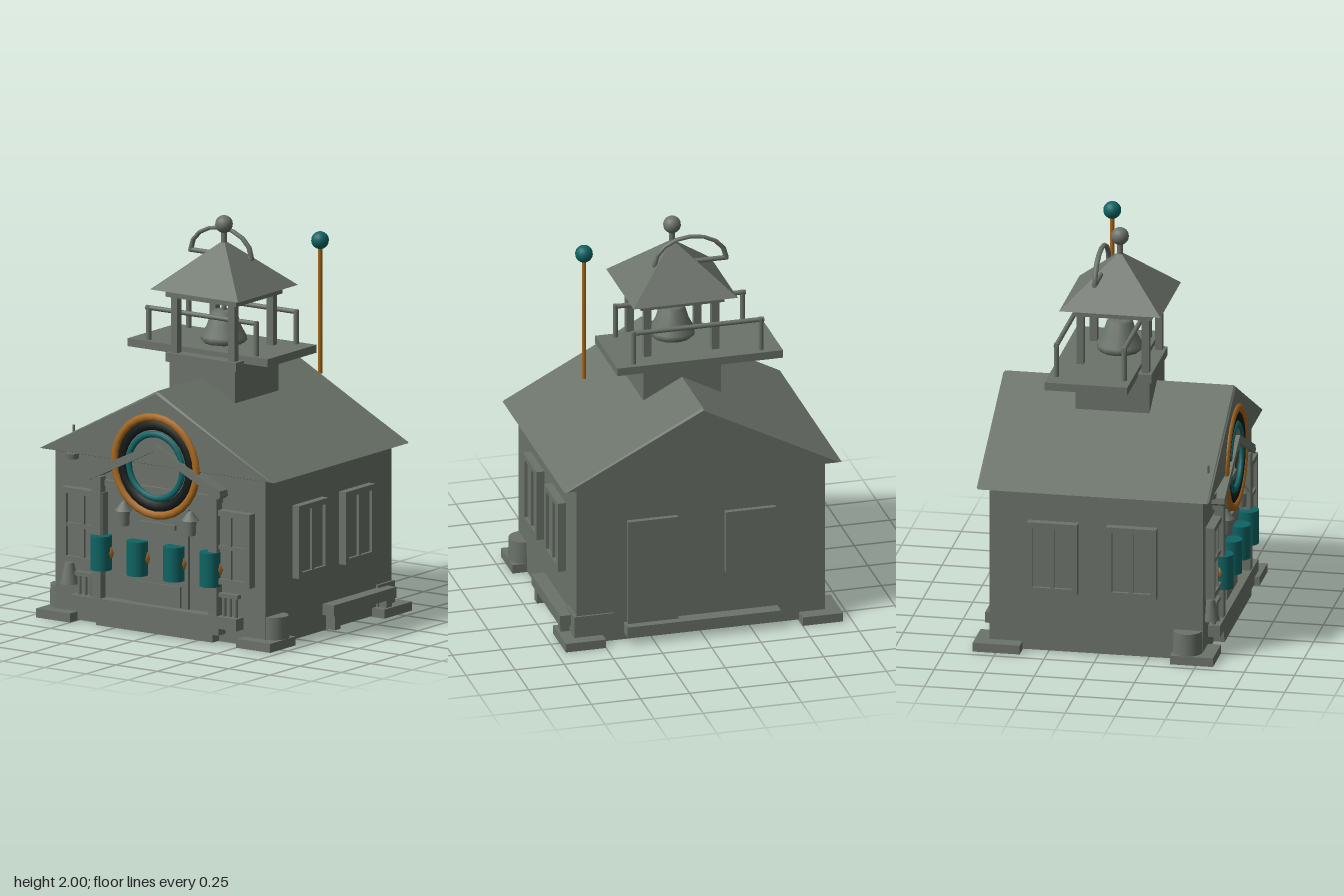
import * as THREE from 'three';

export function createModel() {
  const model = new THREE.Group();
  const mat = (name, color) => {
    const m = new THREE.MeshStandardMaterial({ color });
    m.name = name;
    return m;
  };
  const stone = mat('greyGreen', 0x6b736a);
  const teal = mat('teal', 0x0d6464);
  const amber = mat('amber', 0xa5671e);
  const black = mat('black', 0x141918);

  const add = (name, geo, m = stone, x = 0, y = 0, z = 0) => {
    const mesh = new THREE.Mesh(geo, m);
    mesh.name = name;
    mesh.position.set(x, y, z);
    model.add(mesh);
    return mesh;
  };
  // box given by its limits on each axis
  const box = (name, x0, x1, y0, y1, z0, z1, m = stone) =>
    add(name, new THREE.BoxGeometry(x1 - x0, y1 - y0, z1 - z0), m,
      (x0 + x1) / 2, (y0 + y1) / 2, (z0 + z1) / 2);
  // upright cylinder or cone between two heights
  const rod = (name, x, z, y0, y1, rBottom, rTop = rBottom, m = stone, sides = 12) =>
    add(name, new THREE.CylinderGeometry(rTop, rBottom, y1 - y0, sides), m, x, (y0 + y1) / 2, z);
  const polygon = (pts) => new THREE.Shape(pts.map(([x, y]) => new THREE.Vector2(x, y)));
  const flat = (geo) => {
    const g = geo.toNonIndexed();
    g.computeVertexNormals();
    return g;
  };
  const C = -0.015; // z of the tower axis

  // House body and gabled roof
  box('houseBody', -0.632, 0.632, 0.005, 0.85, -0.545, 0.52);
  const roof = new THREE.ExtrudeGeometry(polygon([[-0.705, 0.845], [0.705, 0.845], [0, 1.218]]), {
    depth: 1.14, bevelEnabled: true, bevelSize: 0.01, bevelThickness: 0.01, bevelOffset: -0.01, bevelSegments: 1,
  });
  add('mainRoof', roof, stone, 0, 0, -0.587);

  // Corner footings, corner drums and side furniture
  for (const s of [-1, 1]) {
    const x0 = Math.min(s * 0.5, s * 0.705), x1 = Math.max(s * 0.5, s * 0.705);
    box('frontFooting', x0, x1, 0, 0.045, 0.37, 0.585);
    box('backFooting', x0, x1, 0, 0.045, -0.615, -0.38);
    rod('cornerDrum', s * 0.63, 0.445, 0.04, 0.157, 0.075, 0.072, stone, 16);
  }
  box('cornerBlock', 0.44, 0.645, 0.045, 0.155, -0.555, -0.41);
  box('sideBenchSeat', 0.63, 0.7, 0.085, 0.14, -0.49, 0.04);
  box('sideBenchLeg', 0.635, 0.69, 0.01, 0.085, -0.03, 0.015);
  box('sideBenchLeg', 0.635, 0.69, 0.01, 0.085, -0.465, -0.42);

  // Framed window facing +z, built as a group and turned to its wall
  const windowUnit = (name, w, h, depth, crossbar) => {
    const g = new THREE.Group();
    g.name = name;
    const f = 0.028;
    const rect = (a, b) => [[-a, -b], [a, -b], [a, b], [-a, b]];
    const shape = polygon(rect(w / 2, h / 2));
    shape.holes.push(polygon(rect(w / 2 - f, h / 2 - f)));
    const part = (n, geo, x, y, z) => {
      const m = new THREE.Mesh(geo, stone);
      m.name = n;
      m.position.set(x, y, z);
      g.add(m);
    };
    part('frame', new THREE.ExtrudeGeometry(shape, { depth, bevelEnabled: false }), 0, 0, 0);
    part('pane', new THREE.BoxGeometry(w - f, h - f, depth * 0.6), 0, 0, depth * 0.3);
    part('mullion', new THREE.BoxGeometry(0.02, h - f, depth * 0.9), 0, 0, depth * 0.45);
    if (crossbar) part('crossbar', new THREE.BoxGeometry(w - f, 0.02, depth * 0.9), 0, 0, depth * 0.45);
    model.add(g);
    return g;
  };
  for (const s of [-1, 1]) {
    for (const z of [0.17, -0.225]) {
      const g = windowUnit('sideWindow', 0.25, 0.365, 0.043, false);
      g.position.set(s * 0.63, 0.497, z);
      g.rotation.y = s * Math.PI / 2;
    }
    windowUnit('frontWindow', 0.25, 0.37, 0.045, true).position.set(s * 0.442, 0.485, 0.52);
  }

  // Back door, back window and step
  box('backDoor', 0.12, 0.376, 0.09, 0.64, -0.572, -0.54);
  box('backWindow', -0.376, -0.12, 0.315, 0.635, -0.572, -0.54);
  box('backStep', -0.39, 0.39, 0.04, 0.095, -0.613, -0.54);

  // Front porch: steps, posts, beam, gable and railings
  box('lowerStep', -0.35, 0.35, 0.005, 0.045, 0.5, 0.575);
  box('middleStep', -0.39, 0.39, 0.045, 0.08, 0.5, 0.58);
  box('porchFloor', -0.497, 0.497, 0.08, 0.14, 0.5, 0.58);
  for (const s of [-1, 1]) {
    box('porchPost', s * 0.35 - 0.026, s * 0.35 + 0.026, 0.12, 0.75, 0.53, 0.575);
    box('porchRail', s * 0.43 - 0.06, s * 0.43 + 0.06, 0.235, 0.255, 0.53, 0.56);
    for (const x of [0.4, 0.435, 0.47]) rod('baluster', s * x, 0.545, 0.14, 0.24, 0.01);
    // wall lanterns beside the door
    rod('lantern', s * 0.2, 0.55, 0.52, 0.595, 0.026, 0.03);
    rod('lanternCap', s * 0.2, 0.55, 0.595, 0.64, 0.045, 0.01);
  }
  box('porchBeam', -0.375, 0.375, 0.7, 0.73, 0.515, 0.54);
  add('porchGable', new THREE.ExtrudeGeometry(
    polygon([[-0.405, 0.74], [-0.39, 0.728], [0, 0.92], [0.39, 0.728], [0.405, 0.74], [0.4, 0.77], [0, 0.96], [-0.4, 0.77]]),
    { depth: 0.065, bevelEnabled: false }), stone, 0, 0, 0.52);

  // Front door
  box('frontDoor', -0.175, 0.175, 0.14, 0.64, 0.515, 0.535);
  box('doorPlate', -0.105, 0.105, 0.53, 0.555, 0.53, 0.55);
  box('doorPanel', -0.135, 0.135, 0.145, 0.25, 0.53, 0.545);

  // Round emblem rings over the porch
  const ring = (name, R, r, m, z) => {
    const mesh = add(name, new THREE.TorusGeometry(R, r, 10, 28), m, 0, 0.843, z);
    mesh.scale.z = 0.8;
  };
  ring('outerRing', 0.246, 0.02, amber, 0.563);
  ring('darkRing', 0.205, 0.029, black, 0.55);
  ring('innerRing', 0.161, 0.016, teal, 0.563);

  // Row of drums with amber bosses
  for (const x of [-0.328, -0.11, 0.11, 0.328]) {
    rod('tealDrum', x, 0.563, 0.285, 0.457, 0.053, 0.053, teal, 16);
    add('drumBoss', new THREE.SphereGeometry(0.068, 8, 6), amber, x, 0.372, 0.55).scale.set(1, 0.75, 0.5);
  }

  // Small hanging bells at the front corner
  rod('cornerBell', -0.535, 0.54, 0.185, 0.29, 0.047, 0.022);
  rod('eaveRod', -0.52, 0.525, 0.83, 0.98, 0.006);
  rod('eaveBell', -0.52, 0.535, 0.812, 0.84, 0.03, 0.034);

  // Bell tower
  box('towerBase', -0.197, 0.197, 1.0, 1.28, C - 0.185, C + 0.185);
  box('towerCollar', -0.212, 0.212, 1.275, 1.32, C - 0.197, C + 0.197);
  box('towerLintel', -0.212, 0.212, 1.6, 1.64, C - 0.197, C + 0.197);
  for (const sx of [-1, 1]) for (const sz of [-1, 1]) {
    const x = sx * 0.172, z = C + sz * 0.163;
    box('towerPost', x - 0.019, x + 0.019, 1.31, 1.61, z - 0.018, z + 0.018);
  }
  const pyramid = flat(new THREE.CylinderGeometry(0.004, 0.265 * Math.SQRT2, 0.235, 4).rotateY(Math.PI / 4));
  add('towerRoof', pyramid, stone, 0, 1.757, C).scale.z = 0.955;
  rod('finialStem', 0, C, 1.84, 1.93, 0.014);
  add('finialBall', new THREE.SphereGeometry(0.044, 16, 12), stone, 0, 1.956, C);

  // Bell and clapper
  const bell = [[0, 1.37], [0.1, 1.365], [0.115, 1.38], [0.112, 1.4], [0.085, 1.45], [0.065, 1.515], [0.05, 1.526], [0, 1.526]];
  add('bell', new THREE.LatheGeometry(bell.map(([r, y]) => new THREE.Vector2(r, y)), 12), stone, 0, 0, C);
  add('clapper', new THREE.SphereGeometry(0.025, 10, 8), stone, 0, 1.365, C);
  rod('bellHanger', 0, C, 1.52, 1.61, 0.012);

  // Offset balcony with two railings
  box('balcony', -0.487, 0.355, 1.305, 1.345, -0.298, 0.115);
  const bar = (name, x0, x1, y, z, r) => {
    const geo = new THREE.CylinderGeometry(r, r, x1 - x0, 10).rotateZ(Math.PI / 2);
    add(name, geo, stone, (x0 + x1) / 2, y, z);
  };
  for (const z of [-0.258, 0.08]) {
    bar('balconyRail', -0.4, 0.27, 1.506, z, 0.012);
    for (const x of [-0.385, 0.262]) rod('balconyPost', x, z, 1.34, 1.516, 0.013);
  }

  // Half hoop behind the tower roof
  add('roofHoop', new THREE.TorusGeometry(0.182, 0.013, 8, 8, Math.PI), stone, -0.072, 1.785, -0.092).scale.y = 0.72;
  bar('hoopBar', -0.262, 0.118, 1.783, -0.092, 0.012);

  // Freestanding amber pole with teal ball
  rod('pole', 0.484, -0.147, 1.245, 1.89, 0.011, 0.011, amber);
  add('poleBall', new THREE.SphereGeometry(0.044, 16, 12), teal, 0.484, 1.913, -0.147);

  return model;
}
